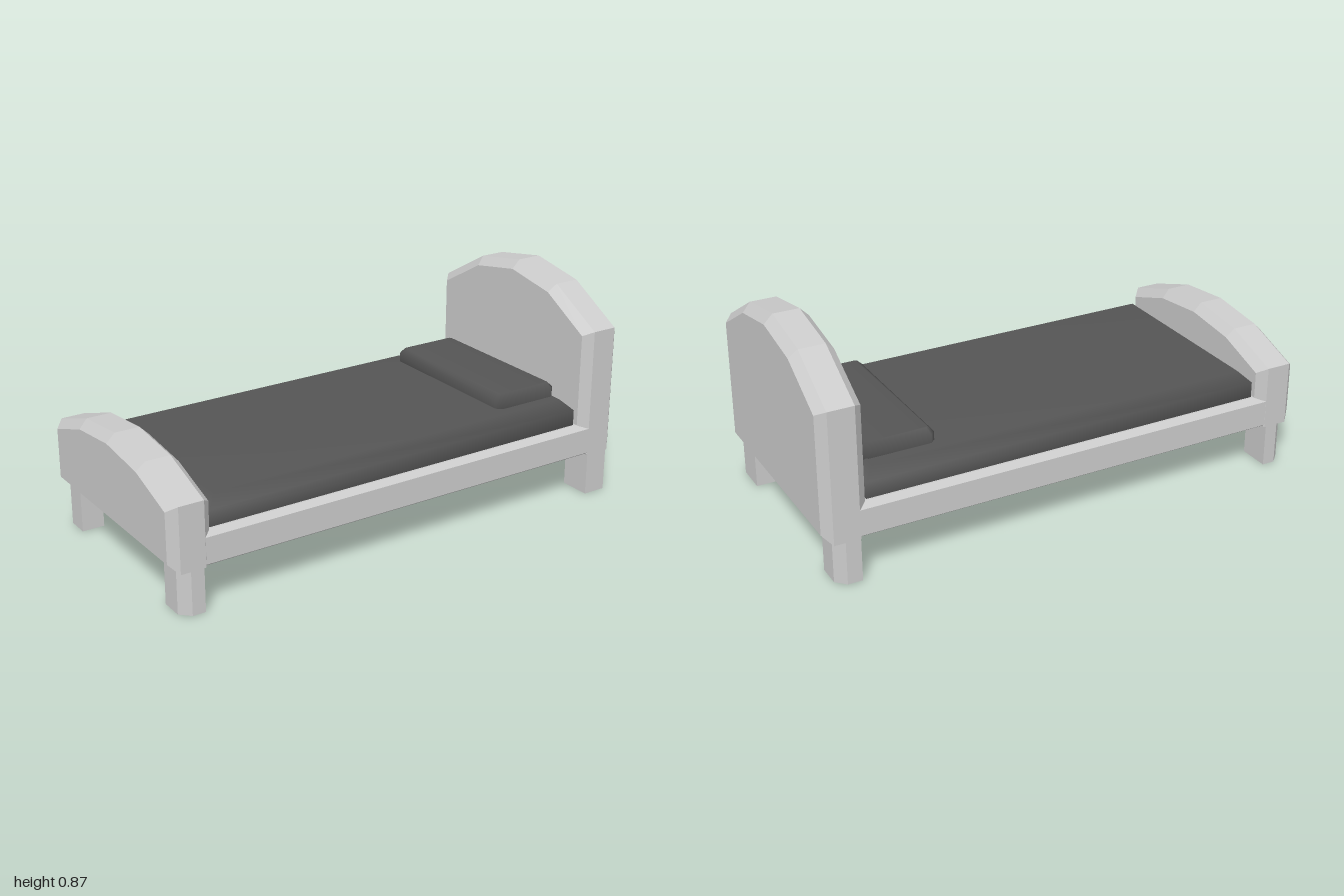
import * as THREE from 'three';
import { mergeVertices } from 'three/addons/utils/BufferGeometryUtils.js';

const grey = new THREE.MeshStandardMaterial({ color: 0xcccccc });
const dark = new THREE.MeshStandardMaterial({ color: 0x555555 });
const HALF = 0.467; // half width of the bed
const FLOOR = 0.17; // underside of the frame

const outline = (points) => new THREE.Shape(points.map(([x, y]) => new THREE.Vector2(x, y)));

// Extrudes an outline to a total depth; the bevel cuts inwards from the outline.
function prism(points, depth, bevel = 0) {
  const geometry = new THREE.ExtrudeGeometry(outline(points), {
    depth: depth - 2 * bevel,
    bevelEnabled: bevel > 0,
    bevelSize: bevel,
    bevelThickness: bevel,
    bevelOffset: -bevel,
    bevelSegments: 1,
  });
  return geometry.translate(0, 0, bevel);
}

// Shares vertices so the edges shade softly.
function soften(geometry) {
  geometry.deleteAttribute('normal');
  geometry.deleteAttribute('uv');
  const soft = mergeVertices(geometry);
  soft.computeVertexNormals();
  return soft;
}

function part(name, geometry, material = grey) {
  const mesh = new THREE.Mesh(geometry, material);
  mesh.name = name;
  return mesh;
}

// Arched end board with chamfered edges, spanning x0 to x1.
function endBoard(name, x0, x1, side, shoulder, top) {
  const points = [
    [-HALF, FLOOR], [HALF, FLOOR], [HALF, side],
    [HALF / 2, shoulder], [0, top], [-HALF / 2, shoulder], [-HALF, side],
  ];
  const geometry = prism(points, x1 - x0, 0.034).rotateY(Math.PI / 2).translate(x0, 0, 0);
  return part(name, geometry);
}

// Leg whose outer corner may be cut off; sx and sz choose the bed corner.
function leg(name, sx, sz, inner, outer, cut) {
  const zIn = 0.34;
  const corner = cut > 0 ? [[outer, HALF - cut], [outer - cut, HALF]] : [[outer, HALF]];
  const points = [[inner, zIn], [outer, zIn], ...corner, [inner, HALF]];
  const placed = points.map(([x, z]) => [sx * x, -sz * z]);
  return part(name, prism(placed, FLOOR + 0.004).rotateX(-Math.PI / 2));
}

// Bevelled cushion with cut corners, lying flat between y0 and y1.
function cushion(name, x0, x1, halfZ, y0, y1, bevel, cut) {
  const z = halfZ;
  const points = cut > 0
    ? [
      [x0 + cut, -z], [x1 - cut, -z], [x1, -z + cut], [x1, z - cut],
      [x1 - cut, z], [x0 + cut, z], [x0, z - cut], [x0, -z + cut],
    ]
    : [[x0, -z], [x1, -z], [x1, z], [x0, z]];
  const geometry = prism(points, y1 - y0, bevel).rotateX(-Math.PI / 2).translate(0, y0, 0);
  return part(name, soften(geometry), dark);
}

export function createModel() {
  const bed = new THREE.Group();
  bed.name = 'bed';

  // End boards
  bed.add(endBoard('headboard', 0.83, 1, 0.688, 0.823, 0.865));
  bed.add(endBoard('footboard', -1, -0.833, 0.425, 0.505, 0.53));

  // Frame with slightly chamfered rails
  const section = [
    [-HALF + 0.01, 0.173], [HALF - 0.01, 0.173], [HALF, 0.181], [HALF, 0.283],
    [HALF - 0.037, 0.294], [-HALF + 0.037, 0.294], [-HALF, 0.283], [-HALF, 0.181],
  ];
  bed.add(part('frame', prism(section, 1.732).rotateY(Math.PI / 2).translate(-0.866, 0, 0)));

  // Legs
  bed.add(leg('headLegFront', 1, 1, 0.865, 0.96, 0));
  bed.add(leg('headLegBack', 1, -1, 0.865, 0.96, 0.037));
  for (const [name, sz] of [['footLegFront', 1], ['footLegBack', -1]]) {
    bed.add(leg(name, -1, sz, 0.875, 0.965, 0.038));
  }

  // Bedding
  bed.add(cushion('mattress', -0.825, 0.82, 0.422, 0.22, 0.4, 0.043, 0));
  bed.add(cushion('pillow', 0.505, 0.79, 0.34, 0.35, 0.455, 0.022, 0.02));

  // Prisms mirrored through one axis keep outward faces because shapes are rewound
  return bed;
}
